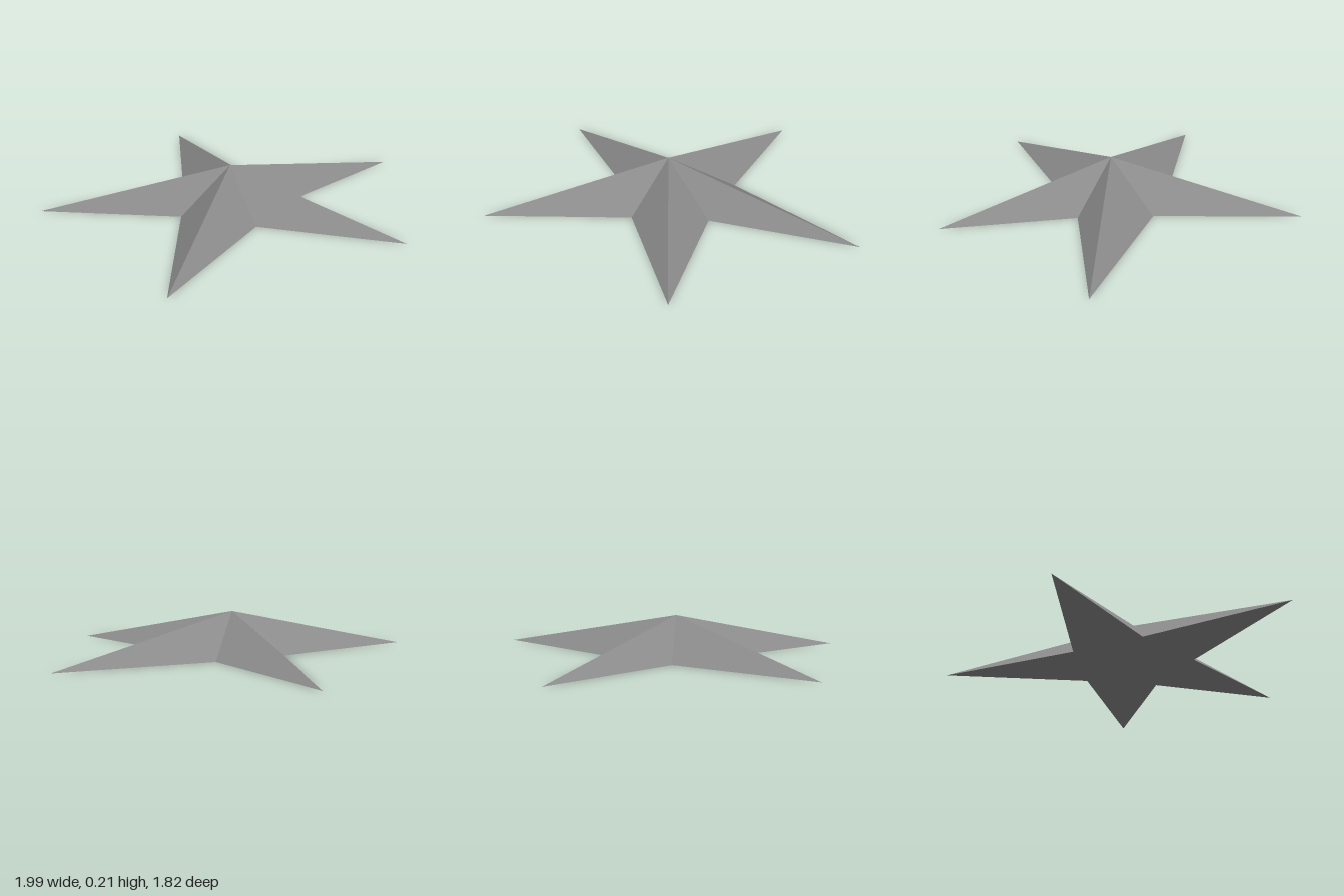
import * as THREE from 'three';

// Star outline on the ground as [x, z], clockwise seen from above, tips and notches alternating
const outline = [
  [-0.02, -0.91], [0.175, -0.17], [0.995, -0.085], [0.295, 0.2], [0.59, 0.835],
  [-0.02, 0.43], [-0.605, 0.905], [-0.335, 0.2], [-0.995, -0.105], [-0.215, -0.17],
];
const peak = [-0.045, 0.12];
const height = 0.21;

// Fan of triangles from a centre point at height y out to the outline
function fan(y, faceUp) {
  const positions = [];
  outline.forEach((a, i) => {
    const b = outline[(i + 1) % outline.length];
    const [p, q] = faceUp ? [b, a] : [a, b];
    positions.push(peak[0], y, peak[1], p[0], 0, p[1], q[0], 0, q[1]);
  });
  const geometry = new THREE.BufferGeometry();
  geometry.setAttribute('position', new THREE.Float32BufferAttribute(positions, 3));
  geometry.computeVertexNormals();
  return geometry;
}

export function createModel() {
  const group = new THREE.Group();
  group.name = 'star';
  const grey = new THREE.MeshStandardMaterial({ color: 0x8a8a8a, flatShading: true });
  grey.name = 'grey';

  // Faceted top rising to the off-centre peak
  const facets = new THREE.Mesh(fan(height, true), grey);
  facets.name = 'facets';

  // Flat underside
  const base = new THREE.Mesh(fan(0, false), grey);
  base.name = 'base';

  group.add(facets, base);
  return group;
}
